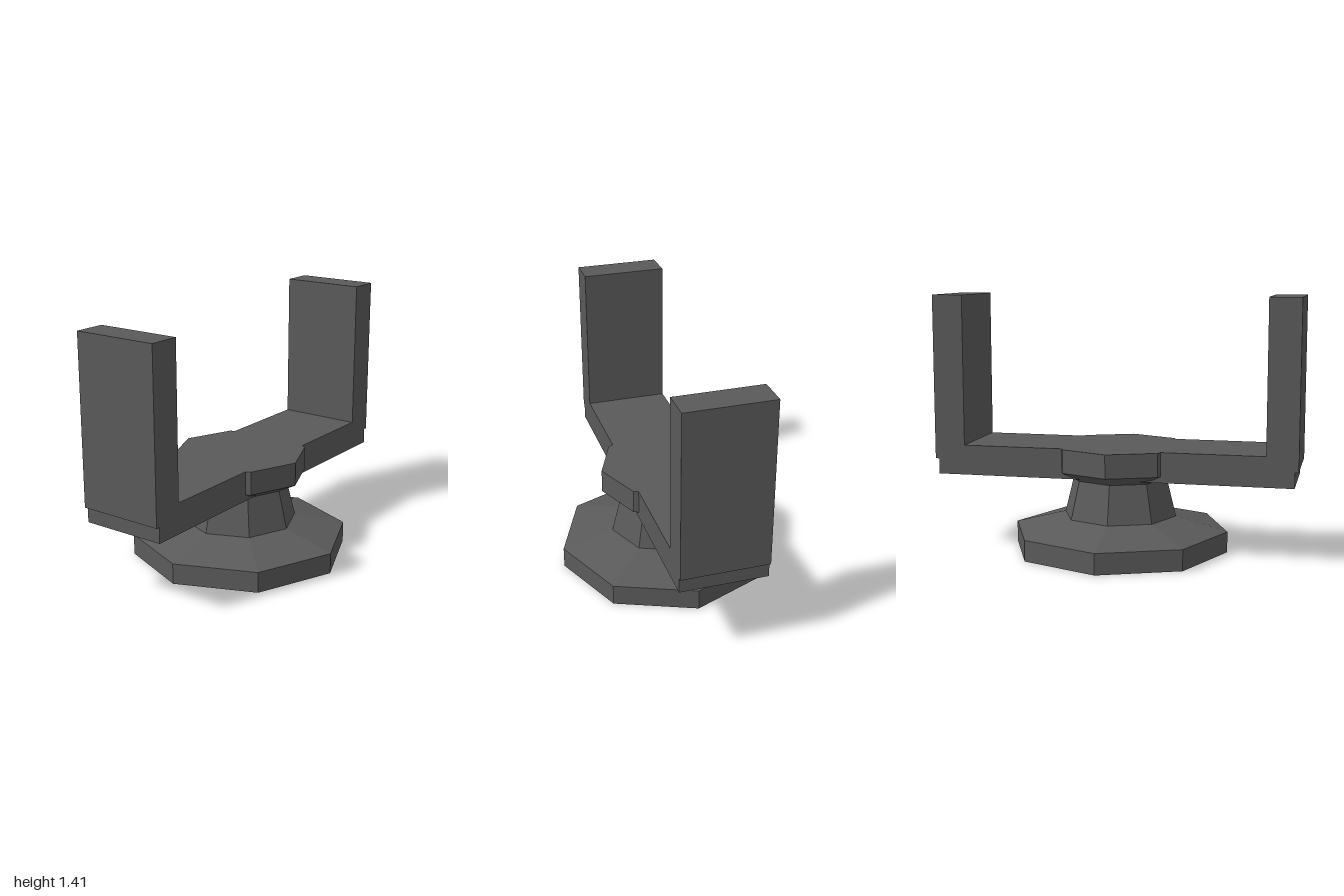
import * as THREE from 'three';

export function createModel() {
  const model = new THREE.Group();
  model.name = 'forkStand';

  const darkGrey = new THREE.MeshStandardMaterial({ color: 0x5a5a5a, flatShading: true });
  darkGrey.name = 'darkGrey';

  const add = (name, geometry, x = 0, y = 0, z = 0) => {
    const mesh = new THREE.Mesh(geometry, darkGrey);
    mesh.name = name;
    mesh.position.set(x, y, z);
    model.add(mesh);
  };

  // Eight-sided turned pieces, with corners on the x and z axes
  const turned = (name, profile) =>
    add(name, new THREE.LatheGeometry(profile.map(([r, y]) => new THREE.Vector2(r, y)), 8));

  // Foot, tapered neck and flared hub share one closed profile
  turned('pedestal', [
    [0, 0], [0.605, 0], [0.605, 0.115], // foot
    [0.317, 0.19], [0.265, 0.4],        // neck
    [0.37, 0.455], [0.37, 0.585], [0, 0.585], // hub
  ]);

  // Crossbar through the hub
  add('crossbar', new THREE.BoxGeometry(1.96, 0.165, 0.47), 0, 0.5025, 0);

  // Upright arms, slightly overhanging the crossbar ends
  for (const [name, side] of [['leftArm', 1], ['rightArm', -1]]) {
    add(name, new THREE.BoxGeometry(0.17, 0.905, 0.47), side * 0.915, 0.9575, 0);
  }

  return model;
}
